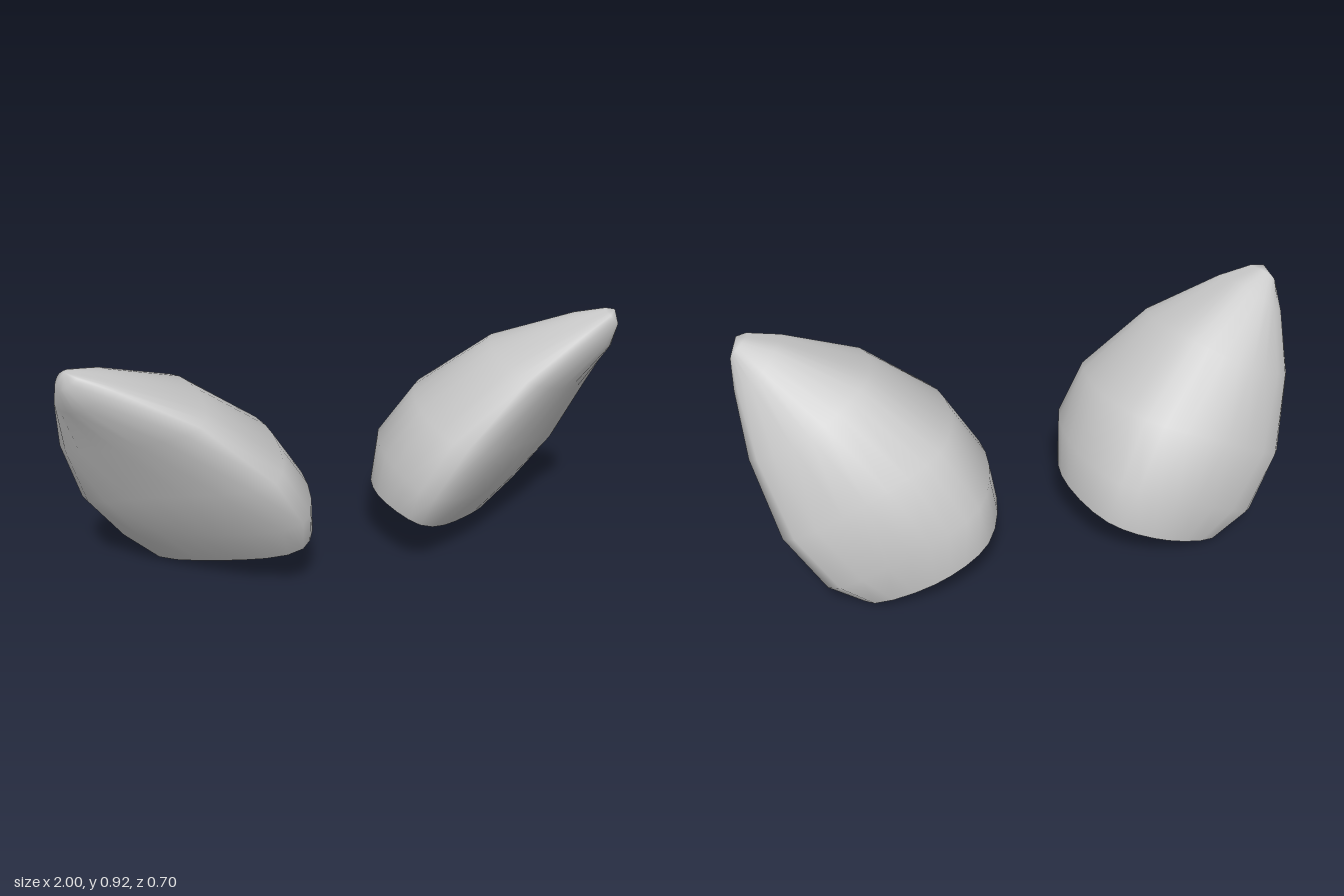
import * as THREE from 'three';

// Cross-sections from base to tip; each loop runs
// front edge, inner side, back, outer back, outer edge, middle of the flat face.
const SECTIONS = [
  [[.22, .20, .235], [.135, .23, .02], [.225, .20, -.26], [.44, .12, -.33], [.68, .02, -.235], [.475, .095, .045]],
  [[.24, .34, .315], [.16, .39, .02], [.26, .38, -.28], [.52, .29, -.35], [.80, .13, -.25], [.59, .245, .10]],
  [[.34, .52, .345], [.275, .575, .07], [.37, .585, -.20], [.64, .51, -.315], [.925, .32, -.175], [.71, .425, .13]],
  [[.57, .735, .31], [.535, .775, .12], [.60, .79, -.06], [.785, .705, -.16], [.99, .58, -.05], [.82, .63, .165]],
  [[.82, .865, .25], [.82, .885, .18], [.85, .895, .09], [.92, .85, .02], [1.0, .78, .07], [.945, .79, .20]],
  [[.93, .91, .215], [.93, .917, .18], [.95, .917, .14], [.98, .895, .12], [.995, .865, .14], [.975, .87, .195]],
];
const TIP = [.965, .922, .18];
const N = 24; // points round each section

const material = new THREE.MeshStandardMaterial({ color: 0xcccccc, side: THREE.DoubleSide });

// hollow ear, open at the base; side is 1 for left, -1 for right
function makeEar(name, side) {
  // smooth closed rings
  const rings = SECTIONS.map(section => {
    const curve = new THREE.CatmullRomCurve3(section.map(p => new THREE.Vector3(...p)), true);
    return Array.from({ length: N }, (_, i) => curve.getPoint(i / N));
  });

  // shell lofted through the rings and closed at the tip
  const points = [...rings.flat(), new THREE.Vector3(...TIP)];
  const triangles = [];
  for (let r = 0; r < rings.length; r++) {
    for (let i = 0; i < N; i++) {
      const a = r * N + i, b = r * N + (i + 1) % N;
      if (r === rings.length - 1) triangles.push([b, a, points.length - 1]);
      else triangles.push([b, a, a + N], [b, a + N, b + N]);
    }
  }

  const geometry = new THREE.BufferGeometry().setFromPoints(
    points.map(p => new THREE.Vector3(p.x * side, p.y, p.z)));
  // the mirrored ear needs its corners in reverse order
  geometry.setIndex(triangles.flatMap(([a, b, c]) => (side > 0 ? [a, b, c] : [a, c, b])));
  geometry.computeVertexNormals();
  const ear = new THREE.Mesh(geometry, material);
  ear.name = name;
  return ear;
}

export function createModel() {
  const model = new THREE.Group();
  model.name = 'pairOfEars';
  const left = makeEar('leftEar', 1);
  const right = makeEar('rightEar', -1);
  right.position.set(0, -.018, .008); // sits slightly lower
  model.add(left, right);
  return model;
}
